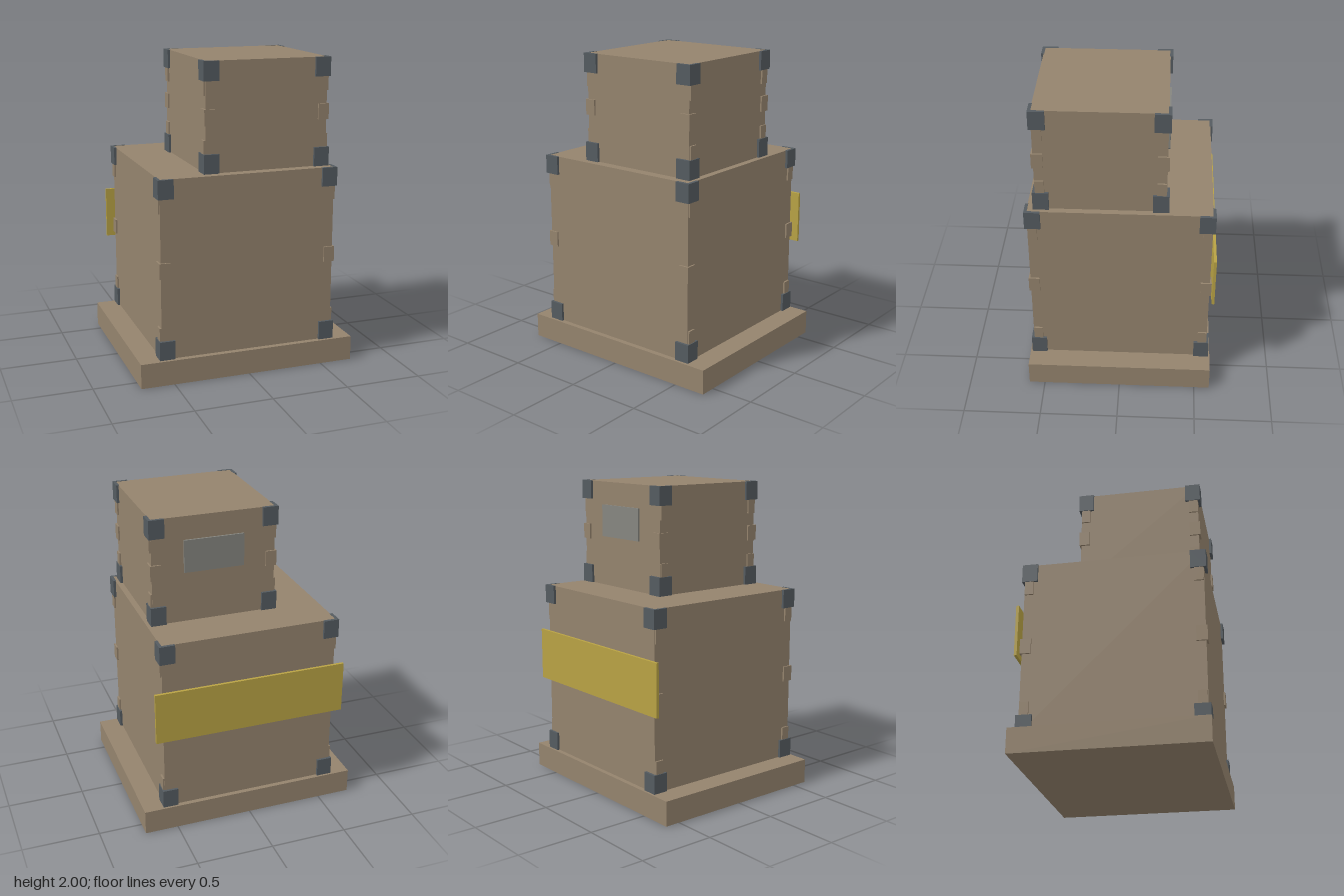
import * as THREE from 'three';

const mat = (color) => new THREE.MeshStandardMaterial({ color });
const wood = mat(0x94836d);
const steel = mat(0x545b60);
const yellow = mat(0xb8a244);
const grey = mat(0x85857f);

// Box given by its min and max corners
function block(name, material, [x0, y0, z0], [x1, y1, z1]) {
  const mesh = new THREE.Mesh(new THREE.BoxGeometry(x1 - x0, y1 - y0, z1 - z0), material);
  mesh.position.set((x0 + x1) / 2, (y0 + y1) / 2, (z0 + z1) / 2);
  mesh.name = name;
  return mesh;
}

// L-shaped angle piece: outer corner at (x, z), legs running inwards
function angle(name, material, x, z, sx, sz, y0, y1, leg, thick) {
  const shape = new THREE.Shape();
  const pts = [[0, 0], [leg, 0], [leg, thick], [thick, thick], [thick, leg], [0, leg]]
    .map(([a, b]) => new THREE.Vector2(x - sx * a, -(z - sz * b)));
  shape.setFromPoints(pts);
  const geo = new THREE.ExtrudeGeometry(shape, { depth: y1 - y0, bevelEnabled: false });
  geo.rotateX(-Math.PI / 2).translate(0, y0, 0);
  const mesh = new THREE.Mesh(geo, material);
  mesh.name = name;
  return mesh;
}

// Crate with steel corner guards, edge tabs and a plate on the back
function crate(name, { cx, cz, hx, hz, y0, y1, tabMid, plate }) {
  const g = new THREE.Group();
  g.name = name;
  g.add(block('crateBody', wood, [cx - hx, y0, cz - hz], [cx + hx, y1, cz + hz]));
  const out = 0.016, tab = 0.011;
  for (const sx of [-1, 1]) {
    for (const sz of [-1, 1]) {
      const ex = cx + sx * hx, ez = cz + sz * hz;
      // corner guards, bottom and top
      for (const y of [y0, y1 - 0.12]) {
        g.add(angle('cornerGuard', steel, ex + sx * out, ez + sz * out, sx, sz, y, y + 0.121, 0.1, 0.02));
      }
      // middle tab wraps the edge
      g.add(angle('middleTab', wood, ex + sx * tab, ez + sz * tab, sx, sz, tabMid - 0.05, tabMid + 0.05, 0.07, 0.018));
      // upper and lower tabs sit on the sides only
      for (const y of [y0 + 0.105, y1 - 0.21]) {
        const xs = [ex - sx * 0.005, ex + sx * tab].sort((a, b) => a - b);
        const zs = [ez - sz * 0.003, ez - sz * 0.06].sort((a, b) => a - b);
        g.add(block('sideTab', wood, [xs[0], y, zs[0]], [xs[1], y + 0.1, zs[1]]));
      }
    }
  }
  // back plate
  const [px, py0, py1] = plate;
  g.add(block('backPlate', grey, [cx - px, py0, cz - hz - 0.012], [cx + px, py1, cz - hz + 0.004]));
  return g;
}

export function createModel() {
  const model = new THREE.Group();
  model.name = 'stackedCrates';
  model.add(block('base', wood, [-0.717, 0, -0.6], [0.717, 0.16, 0.603]));
  model.add(crate('lowerCrate', {
    cx: 0, cz: 0, hx: 0.574, hz: 0.574, y0: 0.163, y1: 1.31, tabMid: 0.74, plate: [0.195, 0.69, 0.99],
  }));
  model.add(crate('upperCrate', {
    cx: 0.136, cz: 0.117, hx: 0.401, hz: 0.402, y0: 1.313, y1: 2, tabMid: 1.66, plate: [0.195, 1.64, 1.85],
  }));
  // wide yellow board across the back
  model.add(block('yellowBoard', yellow, [-0.632, 0.66, -0.606], [0.629, 1.0, -0.588]));
  return model;
}
